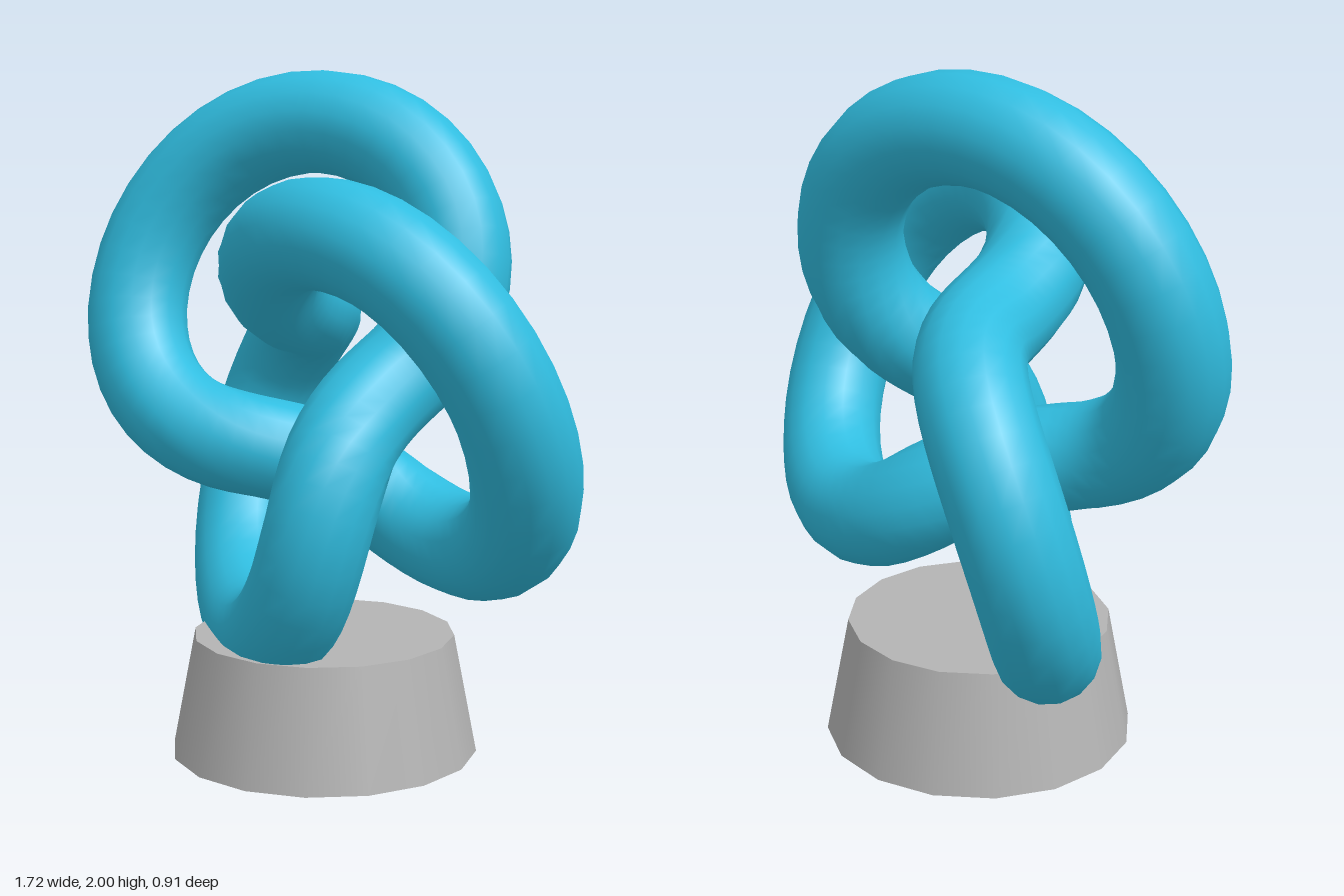
import * as THREE from 'three';

export function createModel() {
  const group = new THREE.Group();
  const blue = new THREE.MeshStandardMaterial({ color: 0x30bde0 });
  blue.name = 'sky blue';
  const grey = new THREE.MeshStandardMaterial({ color: 0xb4b4b4 });
  grey.name = 'stone grey';
  const centreX = -0.085;

  // Trefoil knot, one lobe pointing to +x
  const knot = new THREE.Mesh(new THREE.TorusKnotGeometry(0.53, 0.152, 128, 16, 2, 3), blue);
  knot.name = 'knot';
  knot.position.set(centreX, 1.098, 0);

  // Tapered round plinth
  const height = 0.353;
  const plinth = new THREE.Mesh(new THREE.CylinderGeometry(0.387, 0.455, height, 16), grey);
  plinth.name = 'plinth';
  plinth.position.set(centreX, height / 2, 0);

  group.add(knot, plinth);
  return group;
}
